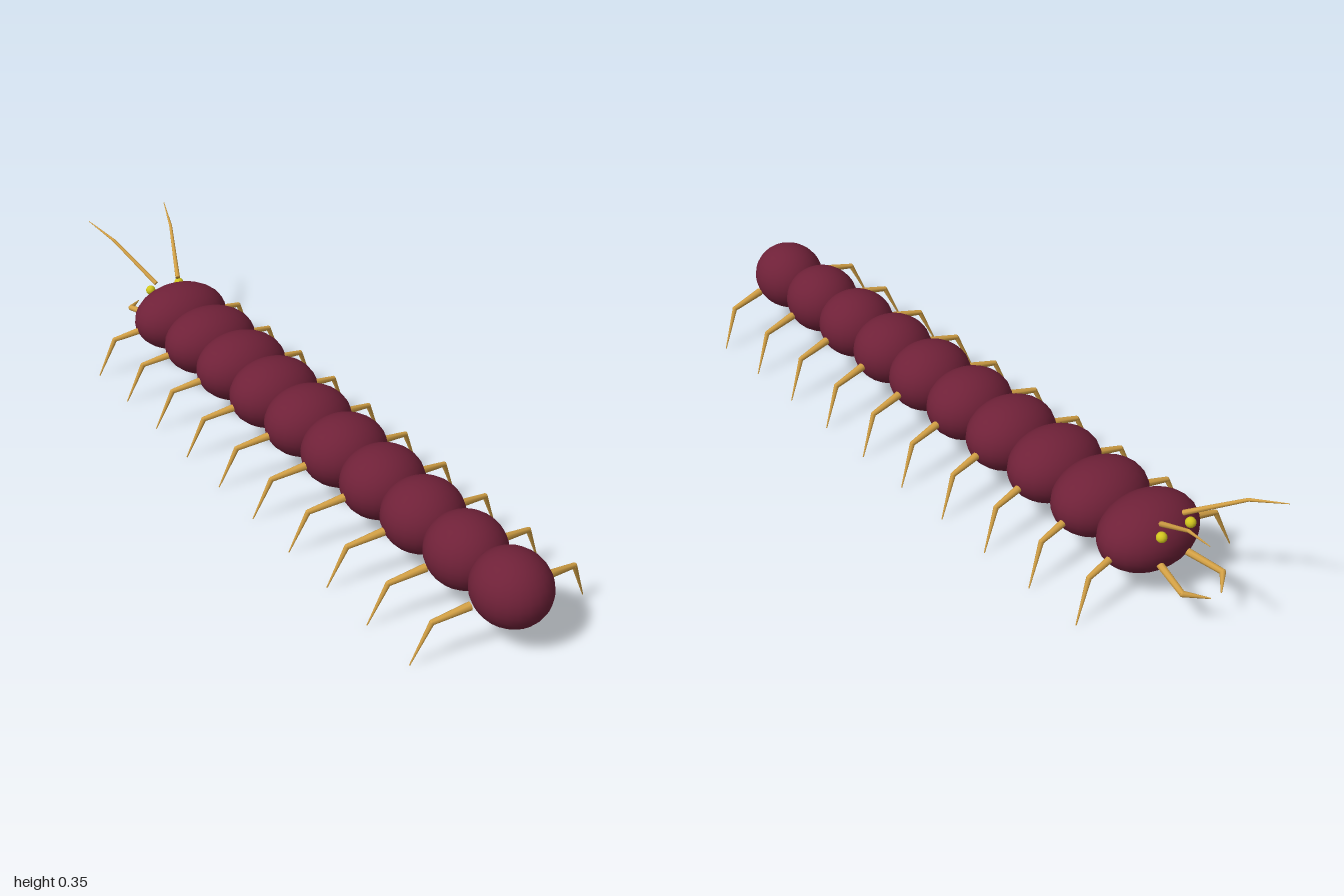
import * as THREE from 'three';

const shell = new THREE.MeshStandardMaterial({ color: 0x6f2138 });
shell.name = 'maroonShell';
const amber = new THREE.MeshStandardMaterial({ color: 0xd4a145 });
amber.name = 'amberLimb';
const yellow = new THREE.MeshStandardMaterial({ color: 0xd2c61e });
yellow.name = 'yellowEye';

const SEGMENTS = 10;
const SPACING = 0.175;
const TAIL_Z = 0.895;
const BODY_Y = 0.145;

// Tapered, jointed limb through a list of [x, y, z, radius] points
function limb(name, points, side) {
  const group = new THREE.Group();
  group.name = name;
  const up = new THREE.Vector3(0, 1, 0);
  for (let i = 0; i < points.length - 1; i++) {
    const [ax, ay, az, ar] = points[i];
    const [bx, by, bz, br] = points[i + 1];
    const a = new THREE.Vector3(ax * side, ay, az);
    const b = new THREE.Vector3(bx * side, by, bz);
    const dir = b.clone().sub(a);
    const part = new THREE.Mesh(new THREE.CylinderGeometry(br, ar, dir.length(), 8), amber);
    part.name = name + 'Section';
    part.position.copy(a).add(b).multiplyScalar(0.5);
    part.quaternion.setFromUnitVectors(up, dir.normalize());
    group.add(part);
    // Rounded joint between sections
    if (i > 0) {
      const joint = new THREE.Mesh(new THREE.SphereGeometry(ar, 8, 6), amber);
      joint.name = name + 'Joint';
      joint.position.copy(a);
      group.add(joint);
    }
  }
  return group;
}

export function createModel() {
  const model = new THREE.Group();
  model.name = 'centipede';

  // Body segments widen from tail to head, each with a pair of legs
  for (let i = 0; i < SEGMENTS; i++) {
    const z = TAIL_Z - i * SPACING;
    const halfWidth = THREE.MathUtils.lerp(0.098, 0.141, i / (SEGMENTS - 1));
    const segment = new THREE.Mesh(new THREE.SphereGeometry(1, 24, 16), shell);
    segment.name = i === SEGMENTS - 1 ? 'head' : 'bodySegment';
    segment.scale.set(halfWidth, 0.095, 0.105);
    segment.position.set(0, BODY_Y, z);
    model.add(segment);

    for (const side of [-1, 1]) {
      model.add(limb('leg', [
        [0.11, 0.13, z - 0.008, 0.011],
        [0.207, 0.113, z - 0.022, 0.007],
        [0.255, 0.001, z - 0.036, 0.0015],
      ], side));
    }
  }

  // Head details, facing -z
  for (const side of [-1, 1]) {
    model.add(limb('antenna', [
      [0.036, 0.225, -0.758, 0.007],
      [0.095, 0.321, -0.903, 0.0045],
      [0.126, 0.352, -1.0, 0.001],
    ], side));

    model.add(limb('pincer', [
      [0.042, 0.115, -0.765, 0.01],
      [0.066, 0.103, -0.872, 0.008],
      [0.017, 0.094, -0.918, 0.0015],
    ], side));

    const eye = new THREE.Mesh(new THREE.SphereGeometry(0.014, 12, 8), yellow);
    eye.name = 'eye';
    eye.position.set(0.047 * side, 0.2, -0.773);
    model.add(eye);
  }

  return model;
}
